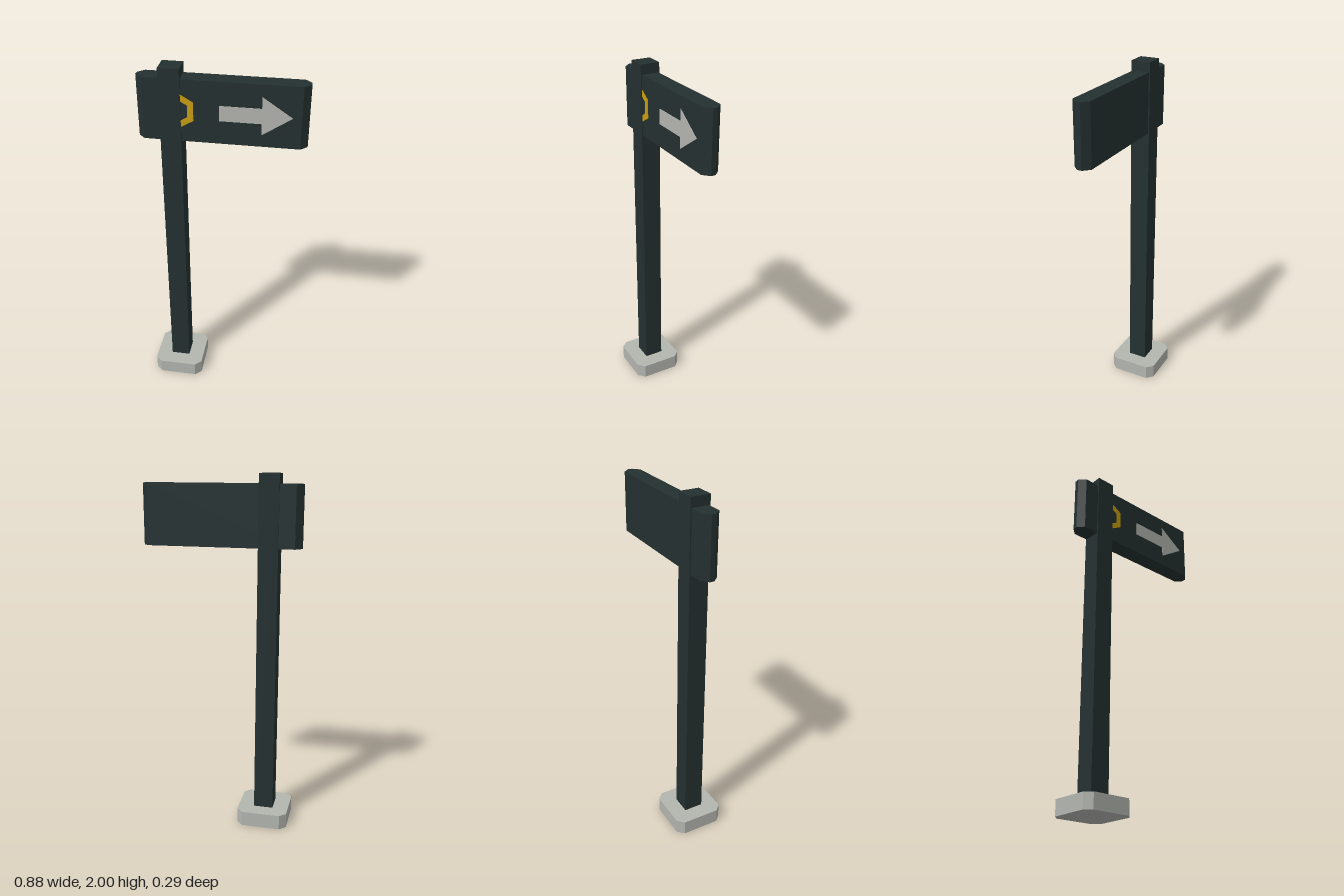
import * as THREE from 'three';

const material = (name, color) => {
  const m = new THREE.MeshStandardMaterial({ color });
  m.name = name;
  return m;
};

// Flat outline from [x, y] points
const outline = (points) => new THREE.Shape(points.map(([x, y]) => new THREE.Vector2(x, y)));

// Rectangle with cut corners: w x d overall, corners cut by cx along x and cz along z
function cutCornerSlab(w, d, cx, cz, height) {
  const a = w / 2, b = d / 2;
  const shape = outline([
    [-a, -b + cz], [-a + cx, -b], [a - cx, -b], [a, -b + cz],
    [a, b - cz], [a - cx, b], [-a + cx, b], [-a, b - cz],
  ]);
  const geo = new THREE.ExtrudeGeometry(shape, { depth: height, bevelEnabled: false });
  return geo.rotateX(-Math.PI / 2);
}

// Pointy-top hexagon corners
const hexagon = (cx, cy, r) => Array.from({ length: 6 }, (_, i) => {
  const a = Math.PI / 6 + i * Math.PI / 3;
  return [cx + r * Math.cos(a), cy + r * Math.sin(a)];
});

export function createModel() {
  const model = new THREE.Group();
  model.name = 'signpost';
  const dark = material('dark slate', 0x243030);
  const stone = material('light grey', 0xb3b5af);
  const gold = material('gold', 0xc99e12);

  const add = (name, geometry, mat, x, y, z) => {
    const mesh = new THREE.Mesh(geometry, mat);
    mesh.name = name;
    mesh.position.set(x, y, z);
    model.add(mesh);
  };

  const postX = -0.264, boardY = 1.778, face = 0.047;

  // Foot, post and board
  add('base', cutCornerSlab(0.29, 0.29, 0.036, 0.036, 0.085), stone, postX, 0, 0);
  add('post', new THREE.BoxGeometry(0.11, 1.92, 0.11), dark, postX, 1.04, 0);
  add('board', cutCornerSlab(0.884, 0.096, 0.035, 0.035, 0.336), dark, 0, 1.61, 0);

  // Painted arrow on the front
  const plate = { depth: 0.004, bevelEnabled: false };
  const arrow = outline([
    [-0.01, -0.041], [0.206, -0.041], [0.206, -0.103], [0.361, 0],
    [0.206, 0.103], [0.206, 0.041], [-0.01, 0.041],
  ]);
  add('arrow', new THREE.ExtrudeGeometry(arrow, plate), stone, 0, boardY, face);

  // Hexagonal ring, partly hidden by the post
  const ring = outline(hexagon(-0.23, 0, 0.1));
  ring.holes.push(outline(hexagon(-0.23, 0, 0.064)));
  add('hexagonRing', new THREE.ExtrudeGeometry(ring, plate), gold, 0, boardY, face);

  return model;
}
